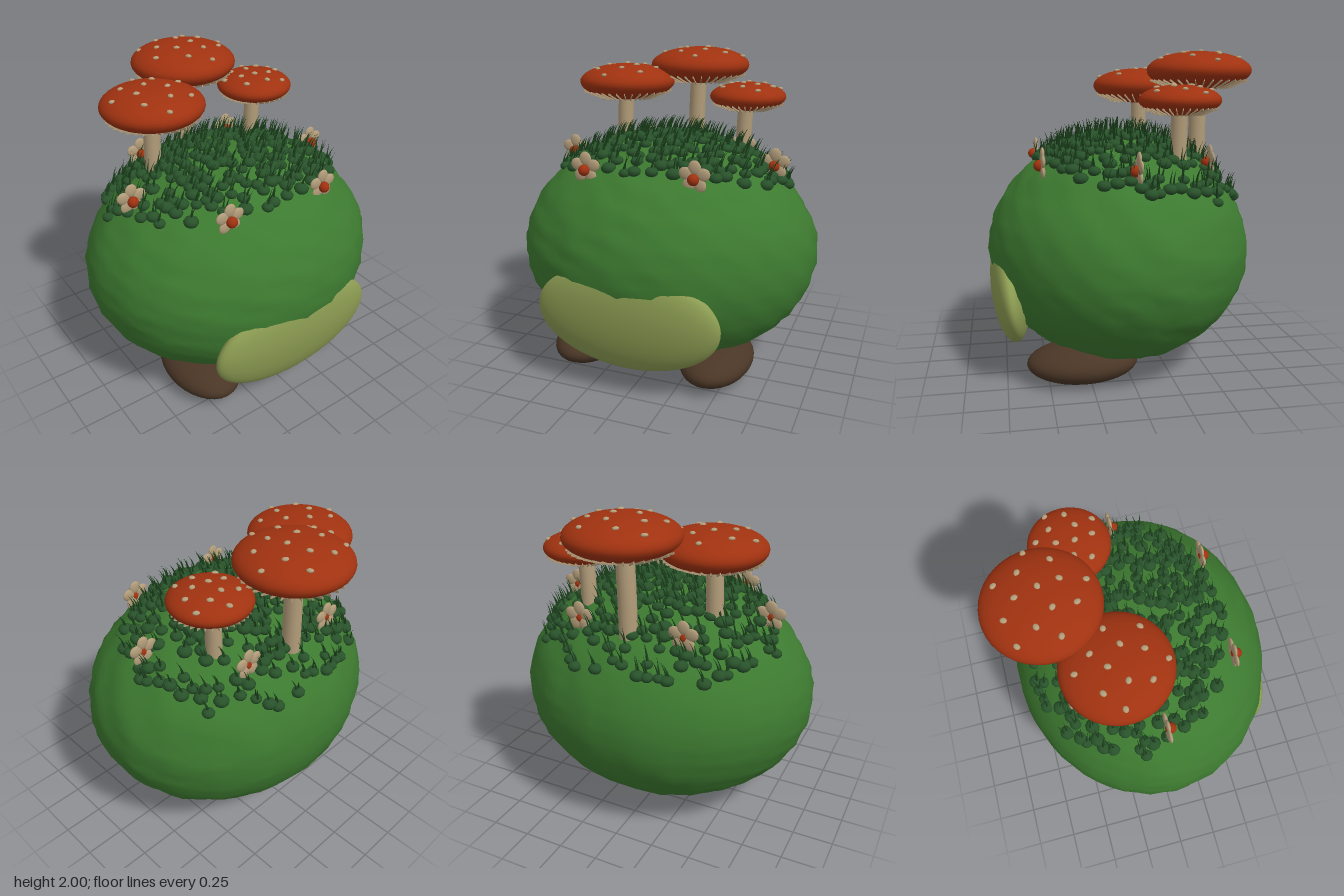
import * as THREE from 'three';
import { mergeGeometries, mergeVertices } from 'three/addons/utils/BufferGeometryUtils.js';

const mat = (name, color) => {
  const m = new THREE.MeshStandardMaterial({ color });
  m.name = name;
  return m;
};

// Small seeded random
let seed = 7;
const rand = () => {
  seed = (seed * 16807) % 2147483647;
  return seed / 2147483647;
};

// Body ellipsoid
const C = new THREE.Vector3(0, 0.75, 0.01);
const R = new THREE.Vector3(0.965, 0.715, 0.83);
const surfaceY = (x, z) =>
  C.y + R.y * Math.sqrt(Math.max(0, 1 - (x / R.x) ** 2 - ((z - C.z) / R.z) ** 2));

const ellipsoid = (rx, ry, rz, w = 32, h = 20) => new THREE.SphereGeometry(1, w, h).scale(rx, ry, rz);

export function createModel() {
  const model = new THREE.Group();
  model.name = 'mushroomCreature';

  const green = mat('bodyGreen', 0x3d7a30);
  const olive = mat('bellyOlive', 0x8c9c52);
  const brown = mat('footBrown', 0x4a3626);
  const red = mat('capRed', 0xa03210);
  const beige = mat('stemBeige', 0xb39d7a);
  const moss = mat('mossGreen', 0x28522a);
  const grass = mat('grassGreen', 0x1c421c);

  const add = (parent, name, geo, material, x = 0, y = 0, z = 0) => {
    const m = new THREE.Mesh(geo, material);
    m.name = name;
    m.position.set(x, y, z);
    parent.add(m);
    return m;
  };

  // Lumpy body
  let body = new THREE.SphereGeometry(1, 60, 40);
  body.deleteAttribute('uv');
  body.deleteAttribute('normal');
  body = mergeVertices(body, 1e-4);
  const p = body.attributes.position;
  for (let i = 0; i < p.count; i++) {
    const x = p.getX(i), y = p.getY(i), z = p.getZ(i);
    const lump = 1
      + 0.007 * Math.sin(17 * x + 9 * y + 2) * Math.sin(15 * z - 11 * y)
      + 0.006 * Math.sin(38 * y + 9 * z + 5 * x) * Math.sqrt(1 - y * y)
      + 0.004 * Math.sin(29 * x - 23 * z);
    p.setXYZ(i, x * R.x * lump, y * R.y * lump, z * R.z * lump);
  }
  body.computeVertexNormals();
  add(model, 'body', body, green, C.x, C.y, C.z);

  // Belly patch, half sunk into the body
  add(model, 'belly', ellipsoid(0.577, 0.333, 0.122, 64, 40), olive, 0, 0.5, 0.715).rotation.x = 0.1;

  // Feet
  for (const s of [-1, 1]) {
    add(model, s > 0 ? 'leftFoot' : 'rightFoot', ellipsoid(0.222, 0.122, 0.338), brown, s * 0.433, 0.125, 0.295);
  }

  // Mushrooms: curved stem, cap, gills and spots
  const mushroom = (name, x, y, z, r, h, stemR, baseX, spots) => {
    const g = new THREE.Group();
    g.name = name;
    model.add(g);
    const base = surfaceY(baseX, z) - 0.03;
    const topX = x - (x - baseX) * 0.3;
    const path = new THREE.QuadraticBezierCurve3(
      new THREE.Vector3(baseX, base, z),
      new THREE.Vector3(baseX, (base + y) / 2, z),
      new THREE.Vector3(topX, y - h * 0.4, z));
    add(g, 'stem', new THREE.TubeGeometry(path, 10, stemR, 14), beige);
    add(g, 'cap', ellipsoid(r, h, r, 40, 20), red, x, y, z);

    // Gills run from near the rim down and inward
    const gills = [];
    const a = new THREE.Vector2(0.93 * r, -0.5 * h), b = new THREE.Vector2(0.55 * r, -0.92 * h);
    const slope = Math.atan2(a.y - b.y, a.x - b.x);
    for (let i = 0; i < 36; i++) {
      gills.push(new THREE.BoxGeometry(a.distanceTo(b), 0.012, 0.005)
        .rotateZ(slope)
        .translate((a.x + b.x) / 2, (a.y + b.y) / 2, 0)
        .rotateY(i * Math.PI / 18));
    }
    add(g, 'gills', mergeGeometries(gills), beige, x, y, z);

    const dots = [];
    for (let i = 0; i < spots; i++) {
      const d = 0.88 * Math.sqrt((i + 0.5) / spots), t = i * 2.4 + x * 5;
      dots.push(ellipsoid(0.021, 0.011, 0.017, 10, 6)
        .rotateY(t)
        .translate(d * r * Math.cos(t), h * Math.sqrt(1 - d * d), d * r * Math.sin(t)));
    }
    add(g, 'spots', mergeGeometries(dots), beige, x, y, z);
  };
  mushroom('middleMushroom', 0.022, 1.872, -0.525, 0.337, 0.122, 0.056, 0, 14);
  mushroom('rightMushroom', -0.39, 1.773, -0.217, 0.318, 0.118, 0.053, -0.41, 13);
  mushroom('leftMushroom', 0.427, 1.697, -0.295, 0.245, 0.09, 0.05, 0.405, 13);

  // Ring of six flowers facing forward
  for (let i = 0; i < 6; i++) {
    const t = i * Math.PI / 3;
    const f = new THREE.Group();
    f.name = 'flower';
    f.position.set(0.685 * Math.cos(t), 1.33, 0.51 / 0.866 * Math.sin(t));
    model.add(f);
    const petals = [];
    for (let k = 0; k < 5; k++) {
      const q = k * Math.PI * 0.4 + 0.3;
      petals.push(ellipsoid(0.043, 0.038, 0.014, 14, 10).rotateZ(q)
        .translate(0.054 * Math.cos(q), 0.054 * Math.sin(q), 0));
    }
    add(f, 'petals', mergeGeometries(petals), beige);
    add(f, 'flowerCentre', new THREE.SphereGeometry(0.034, 16, 12), red, 0, -0.012, 0.02);
  }

  // Bent grass blade
  const blade = new THREE.ConeGeometry(0.009, 0.12, 4, 4).translate(0, 0.06, 0);
  const bp = blade.attributes.position;
  for (let i = 0; i < bp.count; i++) bp.setX(i, bp.getX(i) + 3 * bp.getY(i) ** 2);
  blade.computeVertexNormals();

  // Moss balls with grass scattered over the top
  const balls = [], blades = [], placed = [];
  for (let n = 0; n < 4000 && placed.length < 250; n++) {
    const t = rand() * Math.PI * 2, d = Math.sqrt(rand());
    const x = 0.78 * d * Math.cos(t), z = -0.1 + 0.63 * d * Math.sin(t);
    if (placed.some(q => Math.hypot(q[0] - x, q[1] - z) < 0.044)) continue;
    placed.push([x, z]);
    const y = surfaceY(x, z), s = 0.85 + rand() * 0.3;
    balls.push(ellipsoid(0.041 * s, 0.031 * s, 0.041 * s, 10, 7).translate(x, y + 0.008, z));
    for (let k = 0; k < 2; k++) {
      blades.push(blade.clone().rotateY((rand() - 0.5) * 1.6)
        .translate(x + (rand() - 0.5) * 0.03 * k, y + 0.005, z + (rand() - 0.5) * 0.04 * k));
    }
  }
  add(model, 'moss', mergeGeometries(balls), moss);
  add(model, 'grass', mergeGeometries(blades), grass);

  return model;
}
